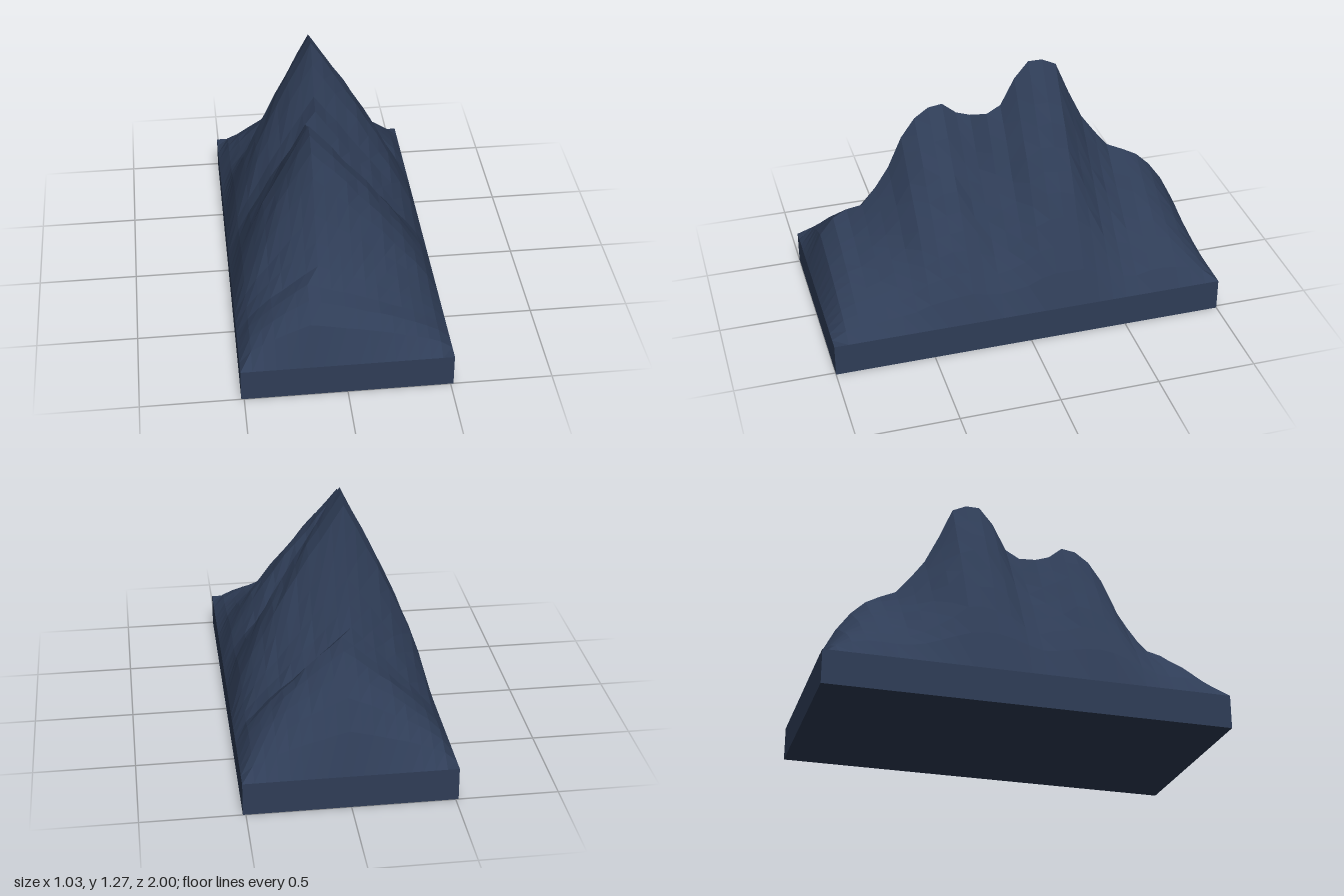
import * as THREE from 'three';

const WIDTH = 1.028, LENGTH = 2, BASE = 0.168;
const COLS = 18, ROWS = 28, STEP = WIDTH / COLS;

// Ridge height for each row, back (z = -1) to front (z = 1)
const RIDGE = [
  0.17, 0.37, 0.51, 0.61, 0.68, 0.72, 0.73, 0.82, 0.92, 1.07,
  1.24, 1.275, 1.275, 1.19, 1.05, 1.01, 0.985, 1.01, 1.07, 1.06,
  1.01, 0.91, 0.75, 0.64, 0.55, 0.50, 0.46, 0.37, 0.17,
];

// Crest position in columns from the centre line
function crestColumn(row) {
  if (row <= 5) return 0;
  if (row <= 15) return -1;
  if (row <= 24) return -2;
  return -3;
}

const bump = (v, centre, size) => Math.exp(-(((v - centre) / size) ** 2));

function slopeHeight(x, z, row) {
  const crest = crestColumn(row) * STEP;
  const side = x < crest ? -1 : 1;
  const t = Math.max(0, 1 - Math.abs(x - crest) / Math.abs(side * WIDTH / 2 - crest));
  if (t < 1e-4) return BASE;
  const rise = RIDGE[row] - BASE;
  // Low ends are rounder than the steep middle
  const power = 0.8 - 0.2 * Math.max(0, Math.abs(z) - 0.6) / 0.4;
  let h = BASE + rise * t ** power;
  // Gullies and small ribs, fading out at the crest and the foot
  const mid = 4 * t * (1 - t);
  const gully = side > 0
    ? 0.05 * bump(z, 0.1, 0.1) + 0.03 * bump(z, -0.5, 0.12)
    : 0.03 * bump(z, 0.12, 0.1) + 0.02 * bump(z, -0.55, 0.12);
  h -= mid * gully;
  h += mid * rise * 0.014 * Math.sin(x * 31 + z * 9) * Math.cos(z * 23 - x * 7);
  return h;
}

export function createModel() {
  const group = new THREE.Group();
  group.name = 'mountainModel';
  const slate = new THREE.MeshStandardMaterial({ color: 0x2f3d57, flatShading: true });
  slate.name = 'dark slate blue';

  // Plinth
  const plinth = new THREE.Mesh(new THREE.BoxGeometry(WIDTH, BASE, LENGTH), slate);
  plinth.name = 'plinth';
  plinth.position.y = BASE / 2;
  group.add(plinth);

  // Twin-peaked mountain as a faceted height field
  const geo = new THREE.PlaneGeometry(WIDTH, LENGTH, COLS, ROWS).rotateX(-Math.PI / 2);
  const pos = geo.attributes.position;
  for (let i = 0; i < pos.count; i++) {
    const row = Math.floor(i / (COLS + 1));
    const onEnd = row === 0 || row === ROWS;
    pos.setY(i, onEnd ? BASE : slopeHeight(pos.getX(i), pos.getZ(i), row));
  }
  geo.computeVertexNormals();
  const mountain = new THREE.Mesh(geo, slate);
  mountain.name = 'mountain';
  group.add(mountain);

  return group;
}
